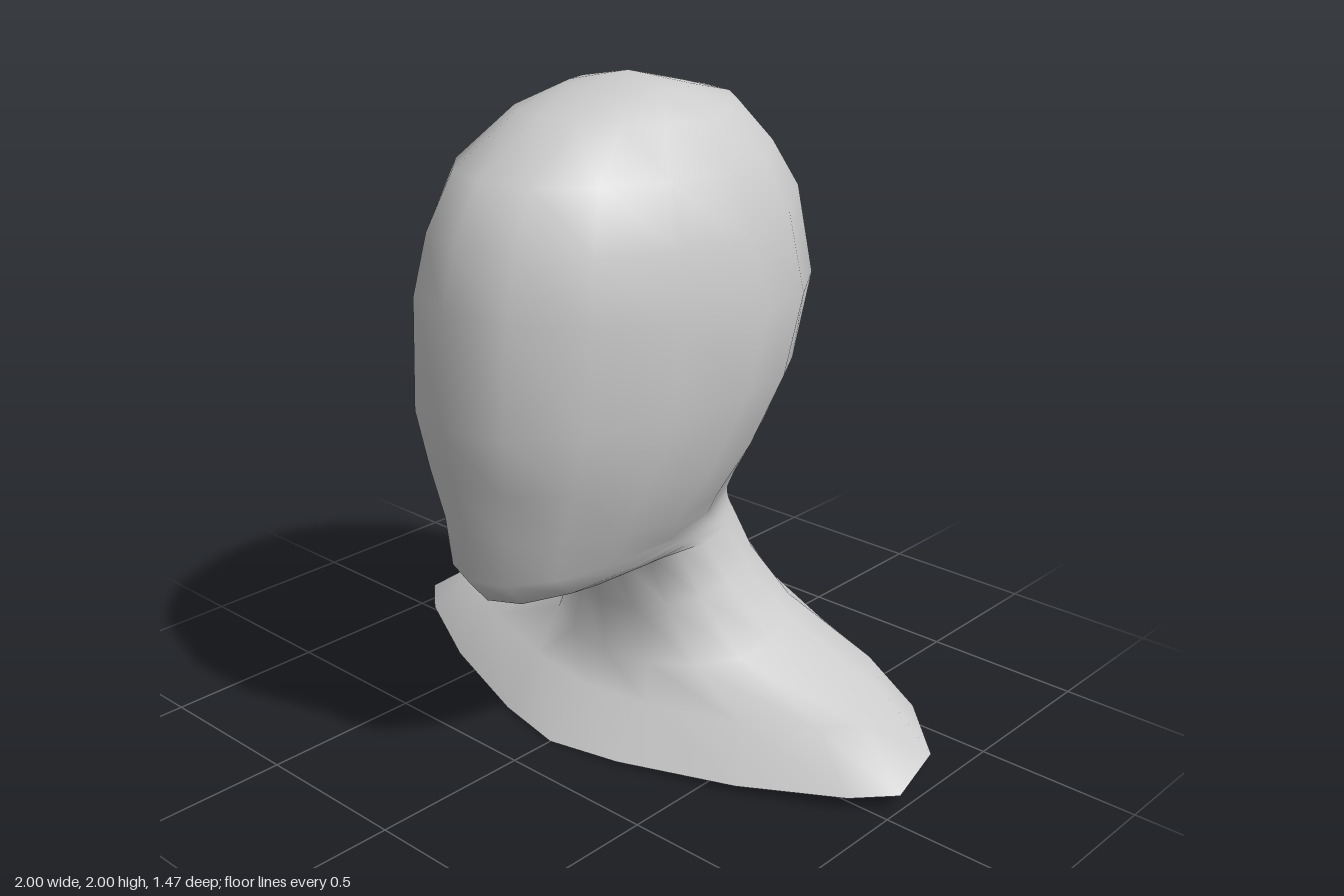
import * as THREE from 'three';

const SIDES = 16;

// Tilted cross-sections from crown to hem:
// [front z, front y, back z, back y, half width, side z, side y, front roundness (1 = ellipse, more = pointed)]
const RINGS = [
  // skull
  [0.18, 1.96, -0.17, 1.96, 0.18, 0, 1.965, 1],
  [0.35, 1.92, -0.33, 1.92, 0.29, 0, 1.89, 1],
  [0.58, 1.78, -0.43, 1.81, 0.39, 0, 1.76, 1],
  [0.67, 1.62, -0.52, 1.69, 0.45, -0.02, 1.58, 1],
  [0.72, 1.45, -0.58, 1.40, 0.48, -0.05, 1.37, 1],
  // face
  [0.735, 1.12, -0.515, 1.13, 0.46, 0, 1.15, 1],
  [0.70, 0.95, -0.44, 0.96, 0.40, 0.08, 0.92, 1],
  [0.665, 0.80, -0.375, 0.80, 0.33, 0.16, 0.76, 1],
  // chin and underside of the jaw
  [0.66, 0.65, -0.37, 0.74, 0.285, 0.13, 0.69, 1],
  [0.59, 0.565, -0.37, 0.71, 0.265, 0.07, 0.665, 1],
  [0.45, 0.55, -0.37, 0.685, 0.255, 0.02, 0.645, 1],
  [0.33, 0.57, -0.37, 0.66, 0.25, -0.03, 0.625, 1],
  [0.20, 0.62, -0.37, 0.64, 0.25, -0.08, 0.60, 1],
  // neck
  [0.12, 0.40, -0.44, 0.49, 0.28, -0.15, 0.45, 1],
  [0.11, 0.22, -0.53, 0.33, 0.41, -0.20, 0.28, 1],
  // shoulders and open hem
  [0.20, 0.14, -0.62, 0.18, 0.82, -0.12, 0.18, 1.3],
  [0.35, 0.00, -0.735, 0.02, 1.0, -0.06, 0.05, 1.5],
];

const power = (v, p) => Math.sign(v) * Math.abs(v) ** p;

function ringPoint([fz, fy, bz, by, w, sz, sy, round], j) {
  const angle = (j / SIDES) * Math.PI * 2;
  const c = Math.cos(angle), s = Math.sin(angle);
  const p = c > 0 ? round : 0.97;
  const k = Math.abs(c) ** p;
  const [endZ, endY] = c > 0 ? [fz, fy] : [bz, by];
  return [w * power(s, p), sy + (endY - sy) * k, sz + (endZ - sz) * k];
}

function loft(pole, rings) {
  const positions = [...pole], index = [];
  const id = (i, j) => 1 + i * SIDES + (j % SIDES);
  rings.forEach((ring, i) => {
    for (let j = 0; j < SIDES; j++) {
      positions.push(...ringPoint(ring, j));
      if (i === 0) {
        index.push(0, id(0, j), id(0, j + 1));
      } else {
        const a = id(i - 1, j), b = id(i, j), c = id(i, j + 1), d = id(i - 1, j + 1);
        index.push(a, b, c, a, c, d);
      }
    }
  });
  const geometry = new THREE.BufferGeometry();
  geometry.setAttribute('position', new THREE.Float32BufferAttribute(positions, 3));
  geometry.setIndex(index);
  geometry.computeVertexNormals();
  return geometry;
}

export function createModel() {
  const group = new THREE.Group();
  group.name = 'mannequinBust';
  // Head, neck and shoulders are one continuous skin, hollow below
  const material = new THREE.MeshStandardMaterial({ color: 0xcccccc, side: THREE.DoubleSide });
  const bust = new THREE.Mesh(loft([0, 2, 0], RINGS), material);
  bust.name = 'headNeckAndShoulders';
  group.add(bust);
  return group;
}
